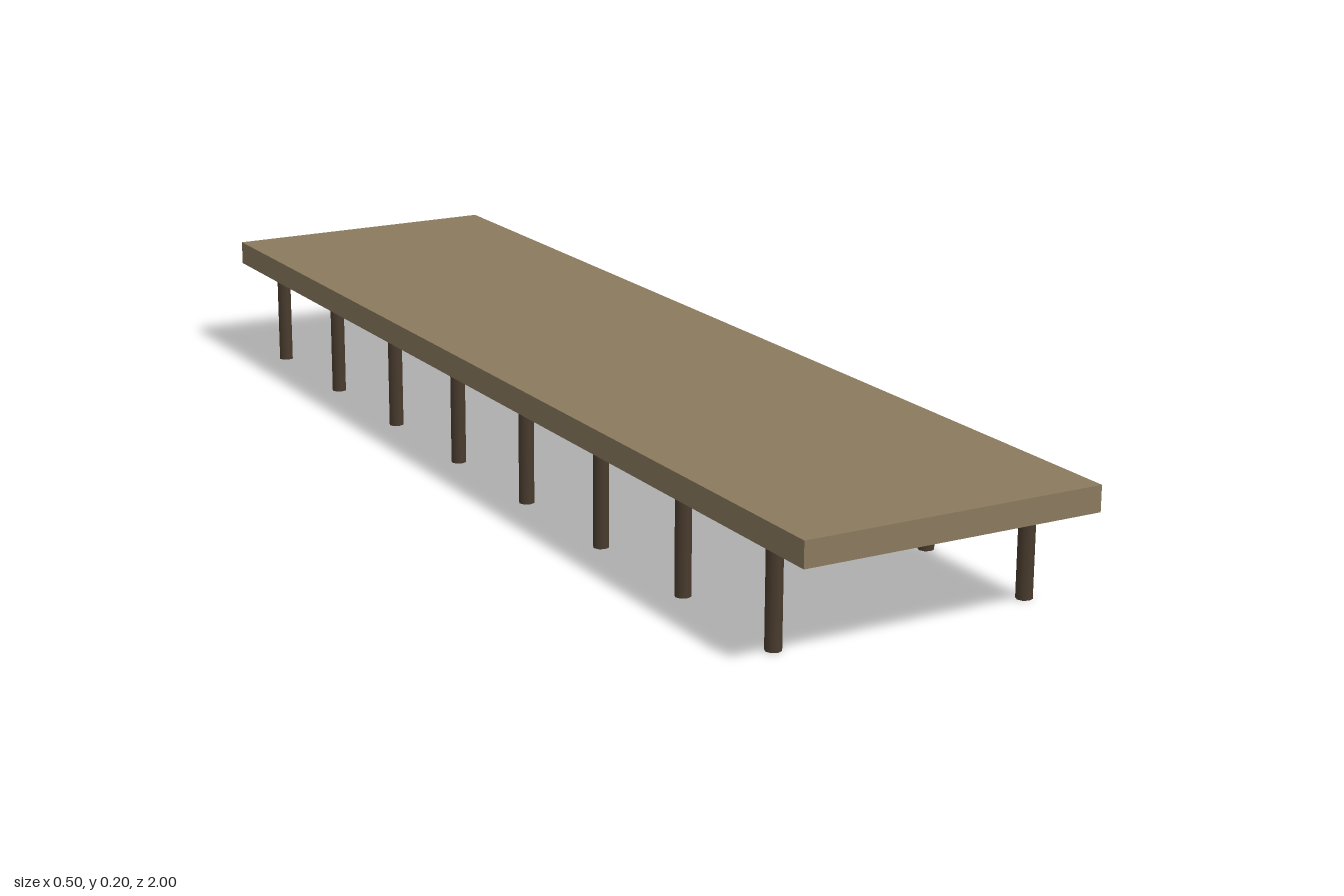
import * as THREE from 'three';

export function createModel() {
  const model = new THREE.Group();
  model.name = 'pier';

  const deckWood = new THREE.MeshStandardMaterial({ color: 0x8b7a5e });
  deckWood.name = 'deckWood';
  const postWood = new THREE.MeshStandardMaterial({ color: 0x4a3c2e });
  postWood.name = 'postWood';

  // Long flat deck slab
  const deckBottom = 0.164, deckTop = 0.205;
  const deck = new THREE.Mesh(new THREE.BoxGeometry(0.5, deckTop - deckBottom, 2), deckWood);
  deck.name = 'deck';
  deck.position.y = (deckBottom + deckTop) / 2;
  model.add(deck);

  // Two rows of round support posts, eight on each side
  const postGeometry = new THREE.CylinderGeometry(0.013, 0.013, deckBottom, 8);
  const posts = new THREE.Group();
  posts.name = 'posts';
  for (const side of [-1, 1]) {
    for (let i = 0; i < 8; i++) {
      const post = new THREE.Mesh(postGeometry, postWood);
      post.name = side > 0 ? 'leftPost' : 'rightPost';
      post.position.set(side * 0.217, deckBottom / 2, -0.875 + i * 0.25);
      posts.add(post);
    }
  }
  model.add(posts);

  return model;
}
